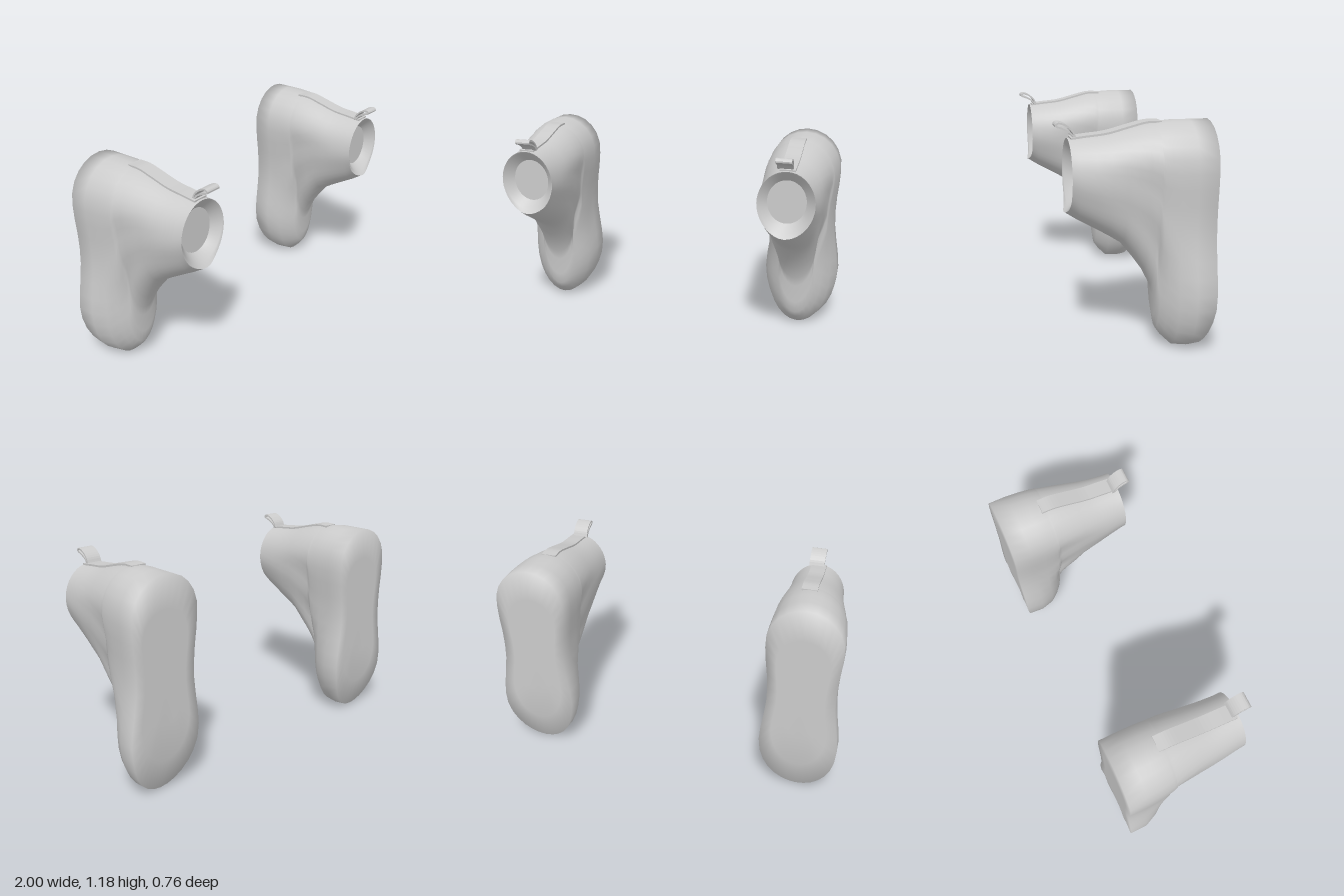
import * as THREE from 'three';

const material = new THREE.MeshStandardMaterial({ color: 0xcccccc, roughness: 0.8, side: THREE.DoubleSide });
const SEG = 40;

// Cross-sections from sole to ankle:
// z, lowest y, highest y, half widths (toe end, middle, heel end), centre x (toe end, heel end), toe rounding
const SECTIONS = [
  [-0.38, 0.01, 1.18, 0.217, 0.182, 0.202, 0.789, 0.761, 0.33],
  [-0.28, 0.003, 1.18, 0.217, 0.185, 0.204, 0.787, 0.761, 0.33],
  [-0.2, 0.01, 1.18, 0.184, 0.182, 0.201, 0.781, 0.759, 0.32],
  [-0.15, 0.06, 1.176, 0.145, 0.175, 0.198, 0.777, 0.757, 0.3],
  [-0.122, 0.1, 1.172, 0.112, 0.17, 0.196, 0.774, 0.756, 0.28],
  [-0.11, 0.17, 1.17, 0.103, 0.169, 0.195, 0.771, 0.755, 0.26],
  [-0.105, 0.28, 1.169, 0.107, 0.168, 0.195, 0.768, 0.754, 0.24],
  [-0.09, 0.34, 1.167, 0.117, 0.168, 0.193, 0.765, 0.753, 0.23],
  [-0.05, 0.42, 1.161, 0.132, 0.17, 0.19, 0.76, 0.751, 0.22],
  [0, 0.49, 1.15, 0.142, 0.171, 0.186, 0.755, 0.749, 0.21],
  [0.06, 0.565, 1.137, 0.147, 0.171, 0.18, 0.751, 0.747, 0.2],
  [0.13, 0.61, 1.119, 0.148, 0.168, 0.174, 0.748, 0.745, 0.2],
  [0.2, 0.65, 1.109, 0.146, 0.164, 0.167, 0.744, 0.743, 0.2],
  [0.28, 0.695, 1.102, 0.145, 0.157, 0.16, 0.741, 0.741, 0.2],
];
const RIM = [0.323, 0.735, 1.1, 0.152, 0.155, 0.155, 0.74, 0.74, 0.19];

// One ring of points, running anticlockwise as seen from +z
function ring([z, y0, y1, wToe, wMid, wHeel, cToe, cHeel, round], scale = 1, lip = 0) {
  const { lerp, smoothstep } = THREE.MathUtils;
  const pts = [], half = (y1 - y0) / 2, cy = y0 + half, cx = (cToe + cHeel) / 2;
  // radii of the rounded ends
  const toeCap = Math.min(round, half), heelCap = Math.min(0.21, half);
  for (let j = 0; j < SEG; j++) {
    const a = (j / SEG) * Math.PI * 2;
    const u = (1 - Math.cos(a)) / 2;
    const gap = Math.min(1, 2 * half * Math.min(u / toeCap, (1 - u) / heelCap));
    const w = u < 0.58
      ? lerp(wToe, wMid, smoothstep(u, 0.26, 0.54))
      : lerp(wMid, wHeel, smoothstep(u, 0.58, 0.8));
    const x = lerp(cToe, cHeel, u) + Math.sign(Math.sin(a)) * Math.sqrt(1 - (1 - gap) ** 2) * w;
    const y = lerp(cy, lerp(y0, y1, u), scale);
    // the sole curls up at the toe
    const curl = z < -0.35 ? 0.055 * Math.pow(Math.max(0, (0.27 - y) / 0.26), 1.5) : 0;
    const bump = lip * Math.pow(Math.max(0, Math.cos(a)), 8);
    pts.push([lerp(cx, x, scale), y, z + curl + bump]);
  }
  return pts;
}

// Smooth skin over a list of rings; side = -1 mirrors it
function loft(rings, side) {
  const pos = [], idx = [];
  rings.forEach(r => r.forEach(([x, y, z]) => pos.push(x * side, y, z)));
  for (let i = 0; i < rings.length - 1; i++) {
    for (let j = 0; j < SEG; j++) {
      const a = i * SEG + j, b = i * SEG + (j + 1) % SEG, c = b + SEG, d = a + SEG;
      if (side > 0) idx.push(a, b, c, a, c, d);
      else idx.push(a, c, b, a, d, c);
    }
  }
  const g = new THREE.BufferGeometry();
  g.setAttribute('position', new THREE.Float32BufferAttribute(pos, 3));
  g.setIndex(idx);
  g.computeVertexNormals();
  return g;
}

// Flat band following a side path of [z, y] points
function band(path, thickness, width) {
  const curve = new THREE.CatmullRomCurve3(path.map(([z, y]) => new THREE.Vector3(z, y, 0)));
  const n = 24, upper = [], lower = [];
  for (let i = 0; i <= n; i++) {
    const p = curve.getPoint(i / n), t = curve.getTangent(i / n);
    const dx = -t.y * thickness / 2, dy = t.x * thickness / 2;
    upper.push(new THREE.Vector2(p.x + dx, p.y + dy));
    lower.unshift(new THREE.Vector2(p.x - dx, p.y - dy));
  }
  const g = new THREE.ExtrudeGeometry(new THREE.Shape([...upper, ...lower]), { depth: width, bevelEnabled: false });
  g.translate(0, 0, -width / 2);
  g.rotateY(-Math.PI / 2);
  return g;
}

function addPart(parent, name, geometry, x = 0) {
  const mesh = new THREE.Mesh(geometry, material);
  mesh.name = name;
  mesh.position.x = x;
  parent.add(mesh);
}

function makeBoot(side) {
  const boot = new THREE.Group();
  boot.name = side > 0 ? 'leftBoot' : 'rightBoot';

  // sole, foot and ankle in one skin
  const sole = [0, 0.35, 0.7].map(s => ring(SECTIONS[0], s));
  const rim = ring(RIM, 1, 0.02);
  addPart(boot, 'bootBody', loft([...sole, ...SECTIONS.map(s => ring(s)), rim], side));

  // sloping collar inside the opening, and the disc that closes it
  const edge = ring([0.318, 0.76, 1.092, 0.143, 0.148, 0.148, 0.74, 0.74, 0.17]);
  const inner = [0.27, 0.8, 1.04, 0.105, 0.105, 0.105, 0.738, 0.738, 0.12];
  addPart(boot, 'collar', loft([rim, edge, ring(inner)], side));
  addPart(boot, 'openingFloor', loft([ring(inner), ring(inner, 0)], side));

  // strap along the back of the ankle, ending in a pull loop
  const strap = [[-0.14, 1.171], [-0.07, 1.171], [0.02, 1.15], [0.13, 1.122], [0.24, 1.11], [0.31, 1.102]];
  const loop = [[0.285, 1.105], [0.3, 1.137], [0.335, 1.166], [0.37, 1.175], [0.38, 1.163],
    [0.35, 1.15], [0.315, 1.132], [0.293, 1.108]].reverse();
  addPart(boot, 'strap', band(strap, 0.01, 0.085), 0.738 * side);
  addPart(boot, 'pullLoop', band(loop, 0.009, 0.085), 0.725 * side);
  return boot;
}

export function createModel() {
  const model = new THREE.Group();
  model.name = 'pairOfBoots';
  for (const side of [1, -1]) model.add(makeBoot(side));
  return model;
}
